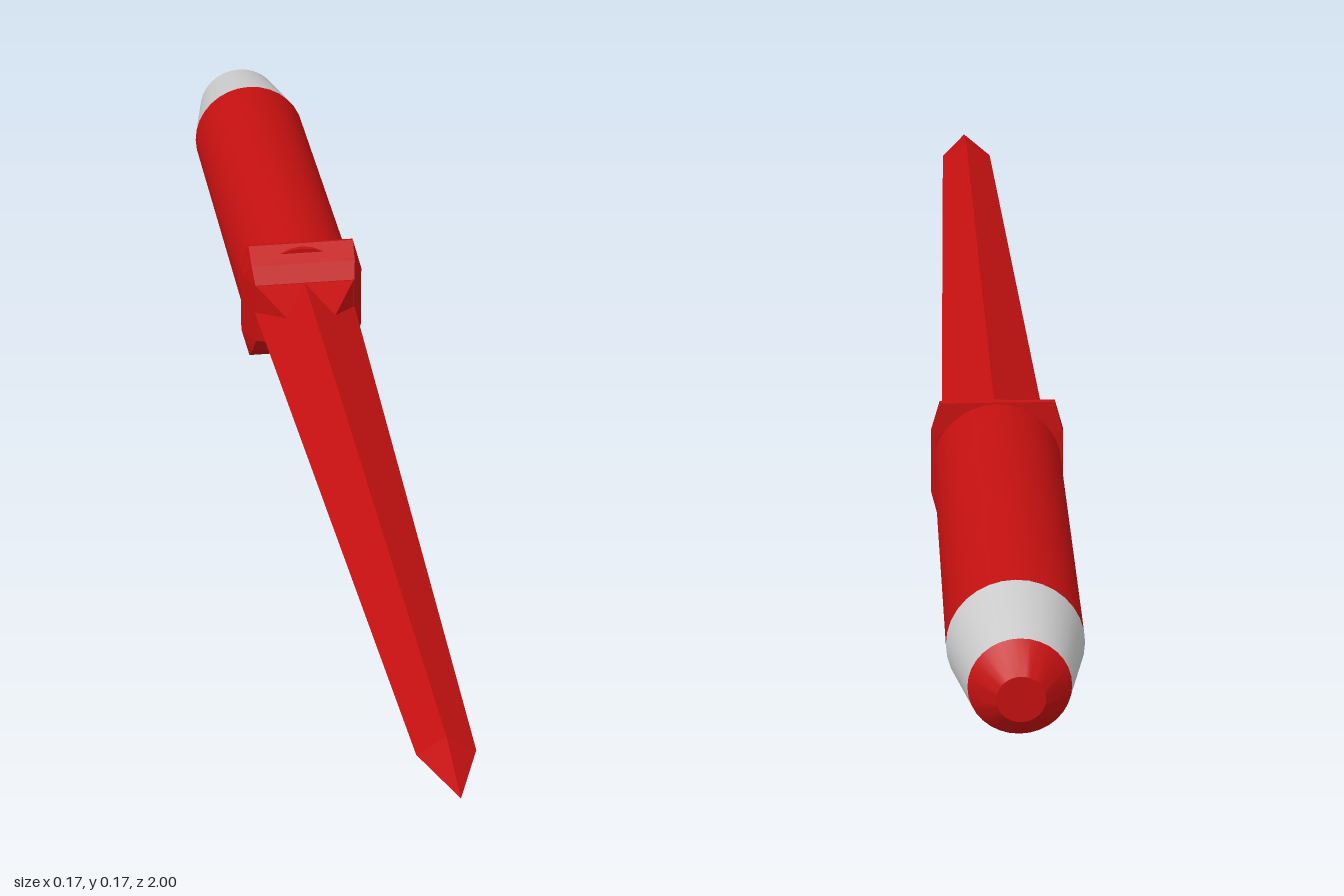
import * as THREE from 'three';
import { toCreasedNormals } from 'three/addons/utils/BufferGeometryUtils.js';
import { ConvexGeometry } from 'three/addons/geometries/ConvexGeometry.js';

const AXIS_Y = 0.083;

export function createModel() {
  const group = new THREE.Group();
  const red = new THREE.MeshStandardMaterial({ color: 0xc41010 });
  const redFlat = new THREE.MeshStandardMaterial({ color: 0xc41010, flatShading: true });
  const grey = new THREE.MeshStandardMaterial({ color: 0xcccccc });

  const add = (name, geometry, material) => {
    const mesh = new THREE.Mesh(geometry, material);
    mesh.name = name;
    mesh.position.y = AXIS_Y;
    group.add(mesh);
  };

  // Turned shape along z from [radius, z] pairs, rear to front
  const turned = (profile, sides) => new THREE.LatheGeometry(
    profile.map(([r, z]) => new THREE.Vector2(r, z)), sides).rotateX(Math.PI / 2);
  const round = (profile) => toCreasedNormals(turned(profile, 32), 0.35);

  // Handle: rear cap, grey ferrule, long grip
  add('pommelCap', round([[0, -1], [0.028, -1], [0.059, -0.965]]), red);
  add('ferrule', round([[0.059, -0.965], [0.08, -0.85]]), grey);
  add('grip', round([[0.08, -0.85], [0.08, -0.29], [0, -0.29]]), red);

  // Guard: bevelled plate with swept-back top and bottom edges
  const mirrored = (corners) => corners.flatMap(([x, y, z]) =>
    [[1, 1], [1, -1], [-1, 1], [-1, -1]].map(([sx, sy]) => new THREE.Vector3(sx * x, sy * y, z)));
  add('guard', new ConvexGeometry(mirrored([
    [0.068, 0.042, -0.262],
    [0.071, 0.064, -0.277],
    [0.072, 0.083, -0.302],
    [0.083, 0.042, -0.297],
    [0.072, 0.082, -0.308],
    [0.082, 0.042, -0.31],
  ])), redFlat);

  // Pyramid whose corners emerge around the blade root
  add('bladeCollar', new ConvexGeometry([
    ...mirrored([[0.068, 0.042, -0.264]]), new THREE.Vector3(0, 0, -0.14),
  ]), redFlat);

  // Blade: tapering diamond section with a pointed tip
  add('blade', turned([[0.069, -0.27], [0.035, 0.9], [0, 1]], 4).scale(1, 0.6, 1), redFlat);

  return group;
}
